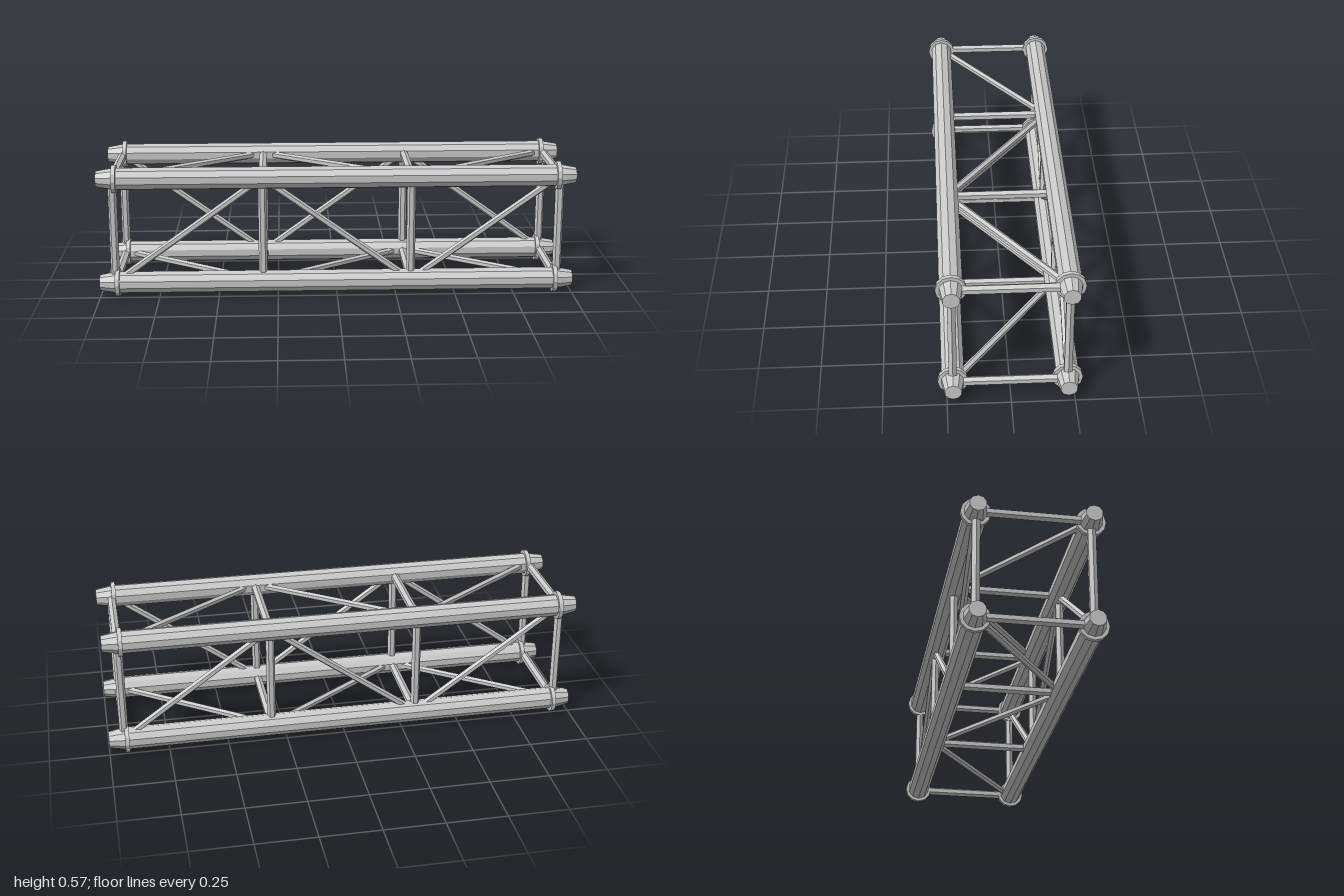
import * as THREE from 'three';

const CHORD_Y = [0.06, 0.51];
const CHORD_Z = 0.225;
const STATIONS = [-0.935, -0.312, 0.312, 0.935];

export function createModel() {
  const group = new THREE.Group();
  const metal = new THREE.MeshStandardMaterial({ color: 0xcccccc, flatShading: true });

  // Places a geometry with its y axis along dir and one facet corner towards corner
  function place(name, geometry, position, dir, corner) {
    const y = dir.clone().normalize();
    const x = new THREE.Vector3().crossVectors(y, corner).normalize();
    const z = new THREE.Vector3().crossVectors(x, y);
    const mesh = new THREE.Mesh(geometry, metal);
    mesh.name = name;
    mesh.quaternion.setFromRotationMatrix(new THREE.Matrix4().makeBasis(x, y, z));
    mesh.position.copy(position);
    group.add(mesh);
  }

  // Six-sided bar between two points
  function bar(name, a, b, radius, corner) {
    const dir = b.clone().sub(a);
    const geometry = new THREE.CylinderGeometry(radius, radius, dir.length(), 6);
    place(name, geometry, a.clone().add(b).multiplyScalar(0.5), dir, corner);
  }

  const X = new THREE.Vector3(1, 0, 0);
  const Y = new THREE.Vector3(0, 1, 0);

  // Main tubes with tapered ends, and the collars around them
  const profile = [[0, -1], [0.034, -1], [0.047, -0.93], [0.047, 0.93], [0.034, 1], [0, 1]]
    .map(([r, h]) => new THREE.Vector2(r, h));
  const chord = new THREE.LatheGeometry(profile, 10);
  const collar = new THREE.CylinderGeometry(0.06, 0.06, 0.018, 12);
  for (const y of CHORD_Y) {
    for (const z of [-CHORD_Z, CHORD_Z]) {
      place('mainTube', chord, new THREE.Vector3(0, y, z), X, Y);
      for (const x of [-0.925, 0.925]) place('collar', collar, new THREE.Vector3(x, y, z), X, Y);
    }
  }

  // Four faces, each listed by its two tubes; the first diagonal starts on the first tube
  const [low, high] = CHORD_Y;
  const faces = [
    { name: 'front', tubes: [[low, CHORD_Z], [high, CHORD_Z]], corner: X },
    { name: 'back', tubes: [[high, -CHORD_Z], [low, -CHORD_Z]], corner: X },
    { name: 'top', tubes: [[high, CHORD_Z], [high, -CHORD_Z]], corner: Y },
    { name: 'bottom', tubes: [[low, -CHORD_Z], [low, CHORD_Z]], corner: Y },
  ];
  for (const { name, tubes, corner } of faces) {
    const node = (station, tube) => new THREE.Vector3(STATIONS[station], ...tubes[tube]);
    // Square struts at every station
    STATIONS.forEach((_, i) => bar(name + 'Strut', node(i, 0), node(i, 1), 0.0185, corner));
    // Zigzag diagonals
    for (let i = 0; i < 3; i++) {
      bar(name + 'Diagonal', node(i, i % 2), node(i + 1, (i + 1) % 2), 0.015, corner);
    }
  }
  return group;
}
